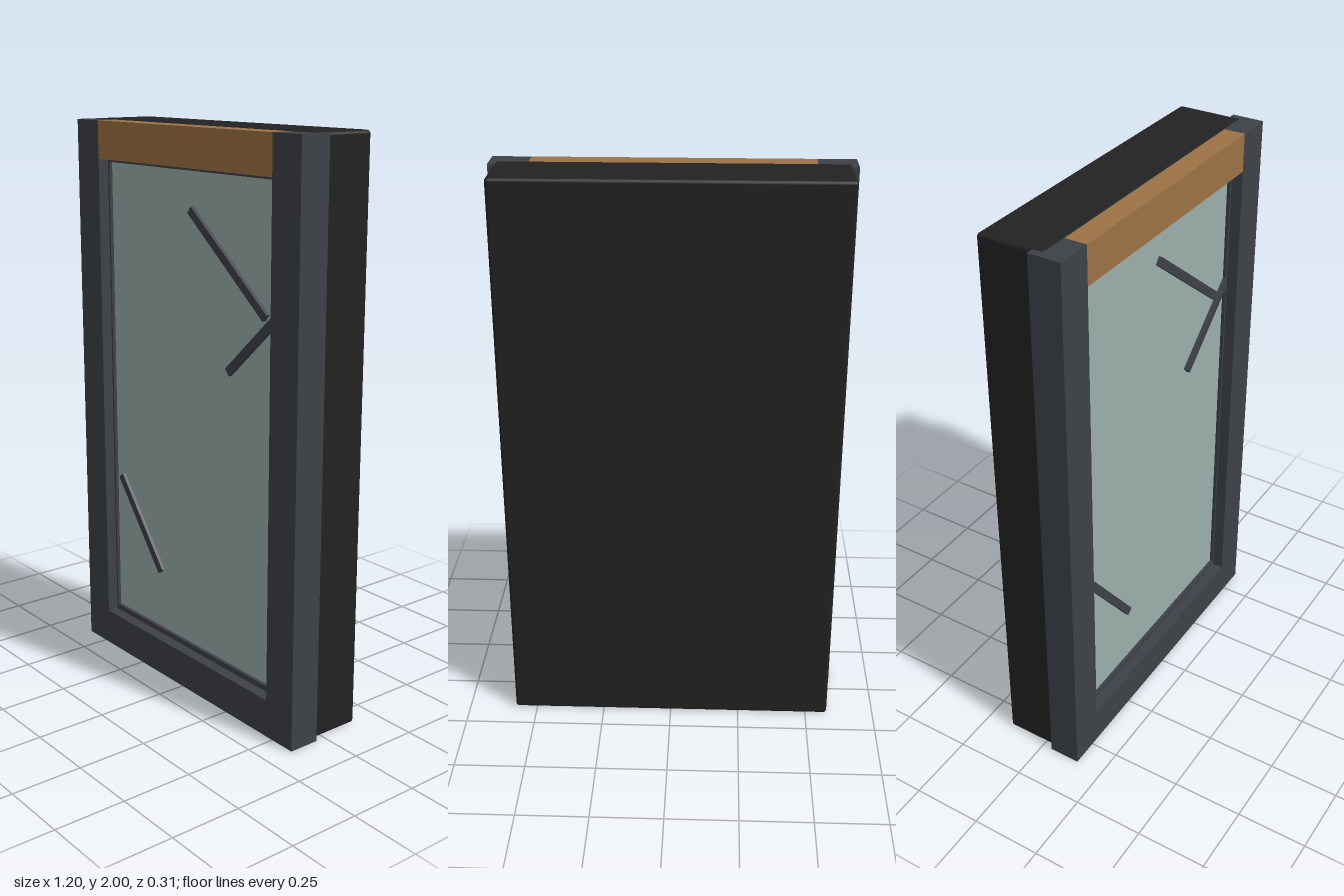
import * as THREE from 'three';
import { RoundedBoxGeometry } from 'three/addons/geometries/RoundedBoxGeometry.js';

const material = (name, color) => {
  const m = new THREE.MeshStandardMaterial({ color });
  m.name = name;
  return m;
};

export function createModel() {
  const group = new THREE.Group();
  const slate = material('slate', 0x3d4147);
  const black = material('black', 0x222222);
  const timber = material('timber', 0x9c7244);
  const glass = material('glass', 0x9aafab);

  const add = (name, geometry, mat, x, y, z) => {
    const mesh = new THREE.Mesh(geometry, mat);
    mesh.name = name;
    mesh.position.set(x, y, z);
    group.add(mesh);
    return mesh;
  };
  // Box given by its extents on each axis
  const box = (name, mat, [x0, x1], [y0, y1], [z0, z1]) =>
    add(name, new THREE.BoxGeometry(x1 - x0, y1 - y0, z1 - z0), mat,
      (x0 + x1) / 2, (y0 + y1) / 2, (z0 + z1) / 2);

  // Casing behind the frame, with softened edges
  add('casing', new RoundedBoxGeometry(1.16, 2, 0.235, 2, 0.012), black, 0, 1, -0.0375);

  // Frame: two posts, a bottom rail and a timber top rail
  const depth = [0.038, 0.15];
  const low = 0.002, high = 1.998;
  for (const side of [-1, 1]) {
    const xs = [side * 0.47, side * 0.6].sort((a, b) => a - b);
    box(side > 0 ? 'leftPost' : 'rightPost', slate, xs, [low, high], depth);
  }
  box('bottomRail', slate, [-0.47, 0.47], [low, 0.135], depth);
  box('topRail', timber, [-0.47, 0.47], [1.865, high], depth);

  // Pane and the narrow bead around it
  box('pane', glass, [-0.47, 0.47], [0.135, 1.865], [0.07, 0.098]);
  const beadDepth = [0.09, 0.11];
  box('bottomBead', slate, [-0.47, 0.47], [0.135, 0.155], beadDepth);
  box('topBead', slate, [-0.47, 0.47], [1.853, 1.865], beadDepth);
  for (const side of [-1, 1]) {
    const xs = [side * 0.462, side * 0.47].sort((a, b) => a - b);
    box(side > 0 ? 'leftBead' : 'rightBead', slate, xs, [0.155, 1.853], beadDepth);
  }

  // Slanting crack bars on the pane
  const cracks = [
    [0.005, 1.725, 0.395, 1.418],
    [0.207, 1.208, 0.485, 1.458],
    [-0.425, 0.692, -0.18, 0.38],
  ];
  cracks.forEach(([x0, y0, x1, y1], i) => {
    const length = Math.hypot(x1 - x0, y1 - y0);
    const bar = add(`crack${i + 1}`, new THREE.BoxGeometry(length, 0.03, 0.014), slate,
      (x0 + x1) / 2, (y0 + y1) / 2, 0.104);
    bar.rotation.z = Math.atan2(y1 - y0, x1 - x0);
  });

  return group;
}
